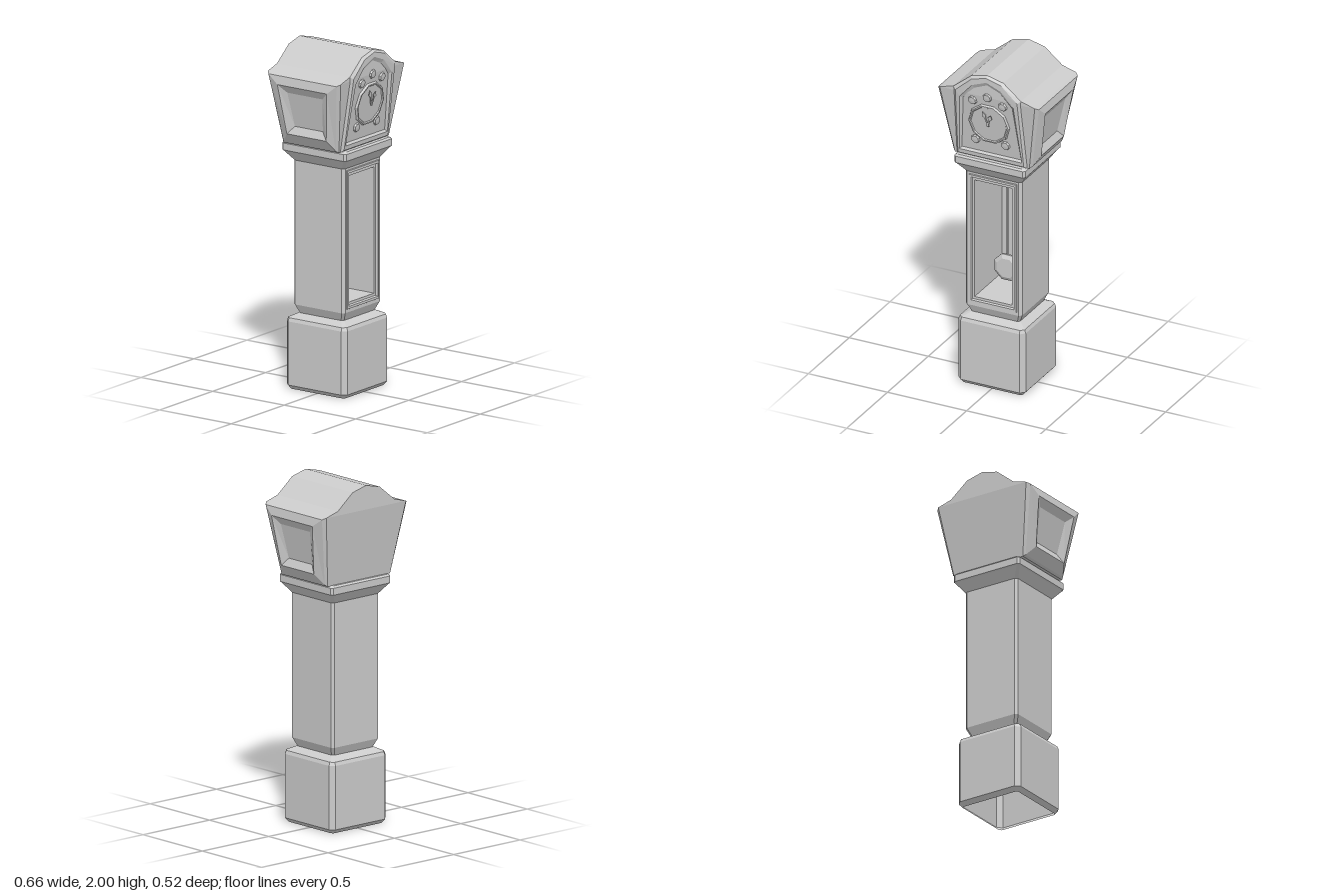
import * as THREE from 'three';

const material = new THREE.MeshStandardMaterial({ color: 0xcccccc, flatShading: true, side: THREE.DoubleSide });

function mesh(name, geometry) {
  const m = new THREE.Mesh(geometry, material);
  m.name = name;
  return m;
}

// Skin a series of matching loops; counter-clockwise loops give outward faces.
function loft(loops, { closed = true, capStart = false, capEnd = false } = {}) {
  const out = [];
  const n = loops[0].length;
  for (let k = 0; k + 1 < loops.length; k++) {
    const a = loops[k], b = loops[k + 1];
    for (let i = 0; i < (closed ? n : n - 1); i++) {
      const j = (i + 1) % n;
      out.push(...a[i], ...a[j], ...b[j], ...a[i], ...b[j], ...b[i]);
    }
  }
  const last = loops[loops.length - 1];
  for (let i = 1; i + 1 < n; i++) {
    if (capEnd) out.push(...last[0], ...last[i], ...last[i + 1]);
    if (capStart) out.push(...loops[0][0], ...loops[0][i + 1], ...loops[0][i]);
  }
  const g = new THREE.BufferGeometry();
  g.setAttribute('position', new THREE.Float32BufferAttribute(out, 3));
  g.computeVertexNormals();
  return g;
}

// Square ring with chamfered corners; its closing segment is the front.
function ring([y, h, c]) {
  const k = h - c;
  return [[k, h], [h, k], [h, -k], [k, -h], [-k, -h], [-h, -k], [-h, k], [-k, h]].map(([x, z]) => [x, y, z]);
}

// Upright rectangle facing the front.
const rect = ([h, y0, y1, z]) => [[-h, y0, z], [h, y0, z], [h, y1, z], [-h, y1, z]];

// The hood front leans forward up to the eaves, then runs upright.
const HOOD_Y = 1.44, EAVES_Y = 1.86, FRONT_Z = 0.247, BACK_Z = -0.262;
const SLOPE = 0.143;
const frontZ = (y) => FRONT_Z - SLOPE * Math.max(0, EAVES_Y - y);

// Arch loop on the hood front from its right half, bottom to apex.
function arch(points, lift) {
  const left = points.slice(0, -1).reverse().map(([x, y]) => [-x, y]);
  return [...points, ...left].map(([x, y]) => [x, y, frontZ(y) + lift]);
}

// Turned disc facing +z.
function disc(name, profile, sides, x, y, z) {
  const g = new THREE.LatheGeometry(profile.map(([r, h]) => new THREE.Vector2(r, h)), sides, Math.PI / sides);
  g.rotateX(Math.PI / 2);
  const m = mesh(name, g.toNonIndexed());
  m.position.set(x, y, z);
  return m;
}

// Flat clock hand with a spade tip.
function hand(name, length, angle, z) {
  const L = length;
  const outline = [[-0.005, -0.008], [0.005, -0.008], [0.004, L * 0.55], [0.014, L * 0.72], [0, L],
    [-0.014, L * 0.72], [-0.004, L * 0.55]].map(([x, y]) => new THREE.Vector2(x, y));
  const m = mesh(name, new THREE.ExtrudeGeometry(new THREE.Shape(outline), { depth: 0.005, bevelEnabled: false }));
  m.position.z = z;
  m.rotation.z = angle;
  return m;
}

function createHood() {
  const hood = new THREE.Group();
  hood.name = 'hood';

  // Flared body
  const trapezoid = (zLow, zHigh) => [[-0.235, HOOD_Y, zLow], [0.235, HOOD_Y, zLow],
    [0.3, EAVES_Y, zHigh], [-0.3, EAVES_Y, zHigh]];
  hood.add(mesh('hoodBody', loft([trapezoid(-0.2, BACK_Z), trapezoid(frontZ(HOOD_Y), FRONT_Z)],
    { capStart: true, capEnd: true })));

  // Arched roof
  const half = [[0.3, EAVES_Y], [0.213, 1.885], [0.102, 1.975], [0, 2]];
  const roof = [...half, ...half.slice(0, -1).reverse().map(([x, y]) => [-x, y])];
  const roofGeometry = new THREE.ExtrudeGeometry(new THREE.Shape(roof.map((p) => new THREE.Vector2(...p))),
    { depth: FRONT_Z - BACK_Z, bevelEnabled: false });
  roofGeometry.translate(0, 0, BACK_Z);
  hood.add(mesh('roof', roofGeometry));

  // Sunken side panels: [x, y, front z, back z] for bottom and top of each loop
  const sideLoops = [
    [[0.235, 1.44, 0.187, -0.2], [0.3, 1.86, 0.247, -0.262]],
    [[0.248, 1.45, 0.175, -0.19], [0.318, 1.85, 0.23, -0.245]],
    [[0.285, 1.51, 0.135, -0.14], [0.328, 1.8, 0.17, -0.175]],
    [[0.263, 1.555, 0.095, -0.1], [0.301, 1.755, 0.12, -0.125]],
  ].map(([b, t]) => [[b[0], b[1], b[2]], [b[0], b[1], b[3]], [t[0], t[1], t[3]], [t[0], t[1], t[2]]]);
  const mirrored = sideLoops.map((l) => l.map(([x, y, z]) => [-x, y, z]).reverse());
  hood.add(mesh('leftPanel', loft(sideLoops, { capEnd: true })));
  hood.add(mesh('rightPanel', loft(mirrored, { capEnd: true })));

  // Arched frame around the clock face
  hood.add(mesh('faceFrame', loft([
    arch([[0.222, 1.44], [0.213, 1.885], [0.102, 1.975], [0, 2]], 0),
    arch([[0.208, 1.45], [0.195, 1.872], [0.093, 1.962], [0, 1.988]], 0.014),
    arch([[0.197, 1.475], [0.17, 1.835], [0.09, 1.925], [0, 1.96]], 0.014),
    arch([[0.187, 1.487], [0.155, 1.825], [0.08, 1.905], [0, 1.938]], 0),
  ])));

  // Dial, studs and hands lie on the leaning face
  const face = new THREE.Group();
  face.name = 'clockFace';
  face.position.set(0, 1.685, frontZ(1.685));
  face.rotation.x = Math.atan(SLOPE);
  face.add(disc('dial', [[0.13, 0], [0.125, 0.013], [0.117, 0.013], [0.112, 0.007], [0, 0.007]], 10, 0, 0, 0));
  for (const [x, y] of [[-0.095, 0.138], [0, 0.176], [0.095, 0.138], [-0.095, -0.125], [0.095, -0.125]]) {
    face.add(disc('stud', [[0.028, 0], [0.023, 0.01], [0, 0.012]], 8, x, y, 0));
  }
  face.add(hand('minuteHand', 0.09, 0.32, 0.014));
  face.add(hand('hourHand', 0.075, -0.33, 0.018));
  hood.add(face);
  return hood;
}

export function createModel() {
  const clock = new THREE.Group();
  clock.name = 'longcaseClock';

  // Chamfered plinth, open underneath
  clock.add(mesh('plinth', loft([[0, 0.19, 0.012], [0.025, 0.212, 0.026], [0.395, 0.212, 0.026],
    [0.415, 0.204, 0.02], [0.44, 0.155, 0.012]].map(ring))));

  // Trunk: flared foot, three walls, and a door with a deep opening
  const trunk = new THREE.Group();
  trunk.name = 'trunk';
  trunk.add(mesh('trunkFoot', loft([[0.44, 0.155, 0.012], [0.49, 0.178, 0.015]].map(ring))));
  trunk.add(mesh('trunkWalls', loft([[0.49, 0.178, 0.015], [1.33, 0.178, 0.015]].map(ring), { closed: false })));
  trunk.add(mesh('door', loft([
    [0.163, 0.49, 1.33, 0.178], [0.151, 0.508, 1.317, 0.178], [0.148, 0.511, 1.314, 0.184],
    [0.136, 0.525, 1.3, 0.184], [0.131, 0.53, 1.295, 0.172], [0.118, 0.545, 1.28, 0.172],
    [0.118, 0.545, 1.28, -0.165],
  ].map(rect), { capEnd: true })));
  clock.add(trunk);

  // Pendulum
  const pendulum = new THREE.Group();
  pendulum.name = 'pendulum';
  const rod = mesh('rod', new THREE.CylinderGeometry(0.006, 0.006, 0.53, 6));
  rod.position.y = 1.015;
  pendulum.add(rod);
  pendulum.add(disc('bob', [[0, -0.02], [0.062, -0.02], [0.086, -0.006], [0.086, 0.006], [0.062, 0.02], [0, 0.02]],
    8, 0, 0.68, 0));
  clock.add(pendulum);

  // Cornice carrying the hood
  clock.add(mesh('cornice', loft([[1.33, 0.178, 0.015], [1.385, 0.218, 0.012], [1.392, 0.225, 0.012],
    [1.432, 0.225, 0.012], [1.442, 0.214, 0.012]].map(ring), { capEnd: true })));

  clock.add(createHood());
  return clock;
}
